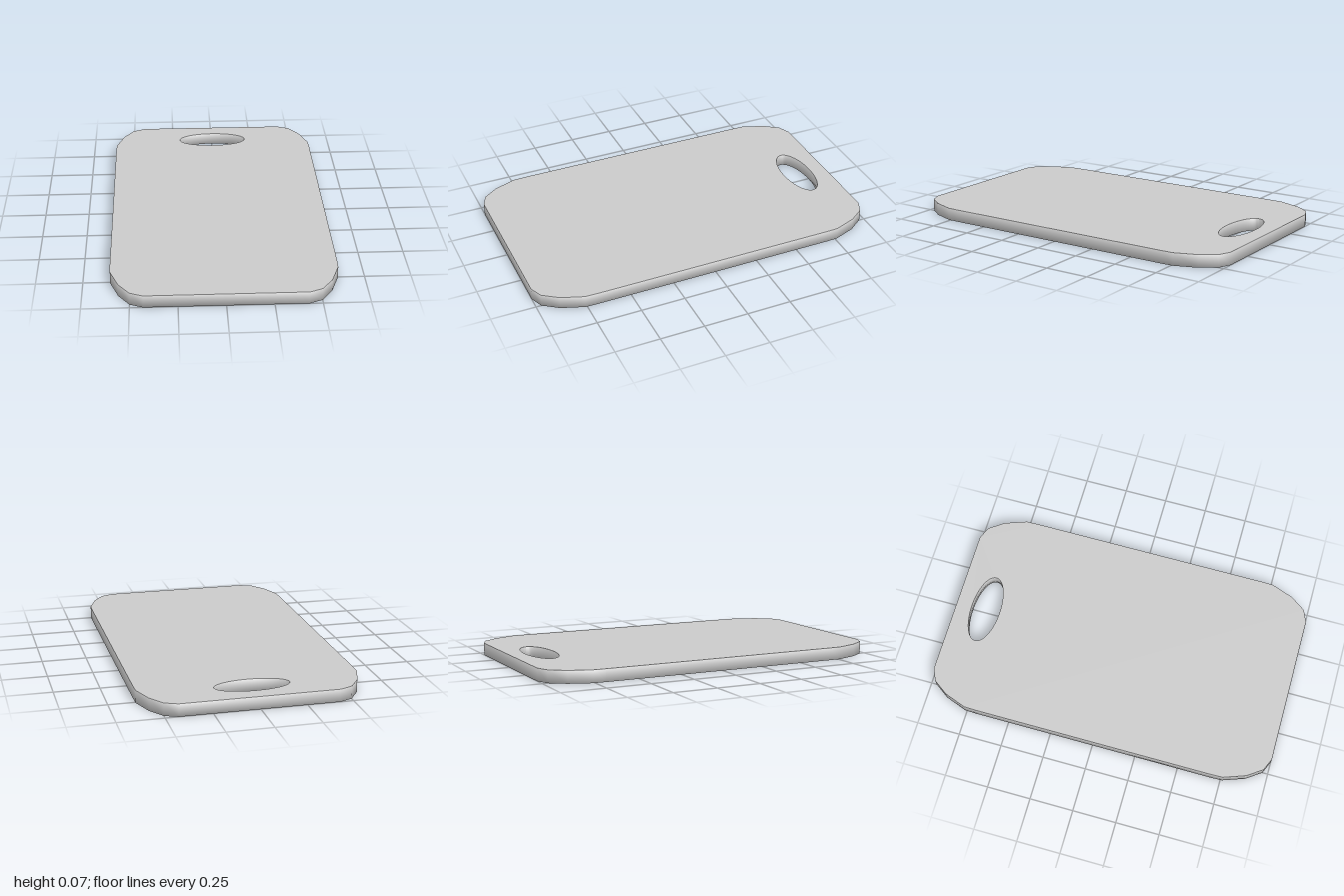
import * as THREE from 'three';
import { toCreasedNormals } from 'three/addons/utils/BufferGeometryUtils.js';

const THICKNESS = 0.07;

// One corner of the outline, mirrored into all four
const corner = [[0.607, 0.69], [0.605, 0.76], [0.56, 0.885], [0.5, 0.97], [0.43, 1]];

function boardOutline() {
  const mirror = (sx, sy) => corner.map(([x, y]) => new THREE.Vector2(x * sx, y * sy));
  return new THREE.Shape([
    ...mirror(1, 1),
    ...mirror(-1, 1).reverse(),
    ...mirror(-1, -1),
    ...mirror(1, -1).reverse(),
  ]);
}

// Lean the wall normals up at the top rim and down at the bottom for a softly rounded edge
function softenWalls(geometry) {
  const pos = geometry.attributes.position;
  const normal = geometry.attributes.normal;
  const n = new THREE.Vector3();
  for (let i = 0; i < pos.count; i++) {
    n.fromBufferAttribute(normal, i);
    if (Math.abs(n.y) > 0.5) continue;
    n.y = pos.getY(i) > THICKNESS / 2 ? 0.6 : -0.6;
    n.normalize();
    normal.setXYZ(i, n.x, n.y, n.z);
  }
  return geometry;
}

export function createModel() {
  const group = new THREE.Group();
  group.name = 'cuttingBoard';

  // Slab with an oval grip hole near the back edge
  const shape = boardOutline();
  const grip = new THREE.Path();
  grip.absellipse(0, 0.825, 0.205, 0.085, 0, Math.PI * 2, true);
  shape.holes.push(grip);

  const slab = new THREE.ExtrudeGeometry(shape, {
    depth: THICKNESS, bevelEnabled: false, curveSegments: 40,
  });
  slab.rotateX(-Math.PI / 2);

  const board = new THREE.Mesh(
    softenWalls(toCreasedNormals(slab, 0.8)),
    new THREE.MeshStandardMaterial({ color: 0xcccccc }),
  );
  board.name = 'board';
  group.add(board);
  return group;
}
